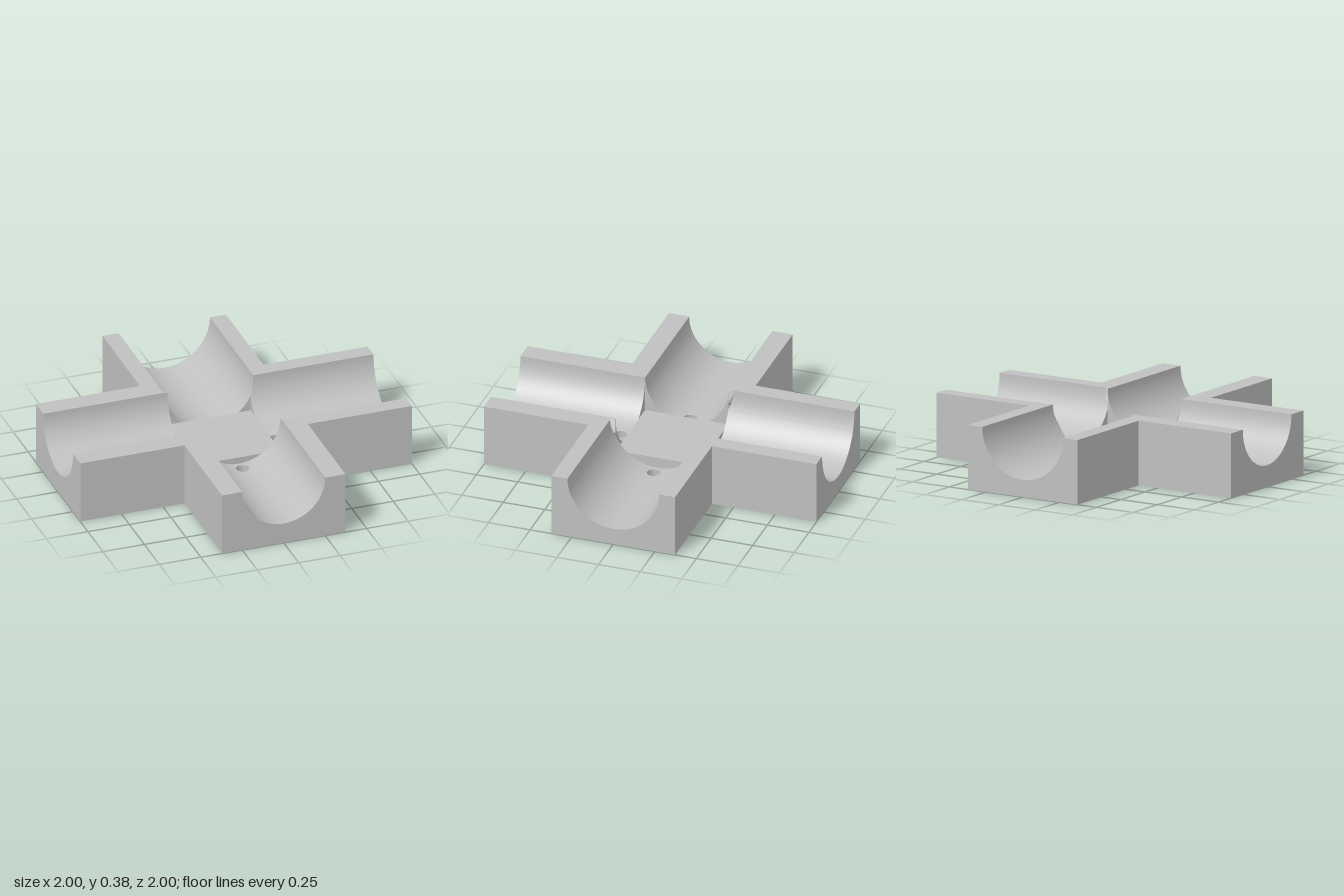
import * as THREE from 'three';
import { toCreasedNormals } from 'three/addons/utils/BufferGeometryUtils.js';

const HEIGHT = 0.375;      // block height, also the channel axis height
const HALF_WIDTH = 0.372;  // half the width of an arm
const HUB = 0.25;          // half the width of the central floor
const HOLE_Z = 0.312, HOLE_R = 0.038;

// One arm along +z: a block with a half-round channel, a screw hole and a mitred inner end
function armGeometry(radius) {
  const pos = [];
  const quad = (a, b, c, d) => {
    for (const p of [a, b, c, a, c, d]) pos.push(...p);
  };
  const top = x => Math.abs(x) < radius ? HEIGHT - Math.sqrt(radius * radius - x * x) : HEIGHT;

  // Section columns: channel steps, hole steps, hub corners and outer edges
  let xs = [-HALF_WIDTH, HALF_WIDTH, -HUB, HUB];
  for (let i = 0; i <= 40; i++) xs.push(-radius * Math.cos(i * Math.PI / 40));
  for (let i = 0; i <= 12; i++) xs.push(-HOLE_R * Math.cos(i * Math.PI / 12));
  xs = xs.sort((a, b) => a - b).filter((x, i) => i === 0 || x - xs[i - 1] > 1e-6);

  const columns = xs.map(x => {
    const inner = Math.max(HUB, Math.abs(x));
    const half = Math.sqrt(Math.max(0, HOLE_R * HOLE_R - x * x));
    const mid = Math.max(HOLE_Z, inner);
    return { x, y: top(x), inner, near: mid - half, far: mid + half };
  });

  for (let i = 0; i + 1 < columns.length; i++) {
    const a = columns[i], b = columns[i + 1];
    // Channel and rim above, flat underside below, both split around the hole
    for (const [from, to] of [[c => c.inner, c => c.near], [c => c.far, () => 1]]) {
      quad([a.x, a.y, from(a)], [a.x, a.y, to(a)], [b.x, b.y, to(b)], [b.x, b.y, from(b)]);
      quad([b.x, 0, from(b)], [b.x, 0, to(b)], [a.x, 0, to(a)], [a.x, 0, from(a)]);
    }
    // Upright faces looking along +z or -z
    const upright = (za, zb, forward) => {
      const p = [[a.x, 0, za], [b.x, 0, zb], [b.x, b.y, zb], [a.x, a.y, za]];
      quad(...(forward ? p : p.reverse()));
    };
    upright(1, 1, true);
    if (Math.max(Math.abs(a.x), Math.abs(b.x)) < 0.28) upright(a.inner, b.inner, false);
    if (Math.abs(a.x + b.x) / 2 < HOLE_R) {
      upright(a.near, b.near, true);
      upright(a.far, b.far, false);
    }
  }

  // Outer side walls
  for (const s of [1, -1]) {
    const x = s * HALF_WIDTH;
    const p = [[x, 0, 1], [x, 0, HALF_WIDTH], [x, HEIGHT, HALF_WIDTH], [x, HEIGHT, 1]];
    quad(...(s > 0 ? p : p.reverse()));
  }

  const geometry = new THREE.BufferGeometry();
  geometry.setAttribute('position', new THREE.Float32BufferAttribute(pos, 3));
  return toCreasedNormals(geometry, 0.5);
}

export function createModel() {
  const group = new THREE.Group();
  group.name = 'crossChannelBlock';
  const grey = new THREE.MeshStandardMaterial({ color: 0xc0c0c0 });
  grey.name = 'grey';

  // Two narrow and two wide channels
  const narrow = armGeometry(0.25), wide = armGeometry(0.275);
  const arms = [
    ['frontArm', narrow, 0],
    ['leftArm', wide, Math.PI / 2],
    ['backArm', wide, Math.PI],
    ['rightArm', narrow, -Math.PI / 2],
  ];
  for (const [name, geometry, angle] of arms) {
    const arm = new THREE.Mesh(geometry, grey);
    arm.name = name;
    arm.rotation.y = angle;
    group.add(arm);
  }

  // Raised flat floor where the channels meet
  const floor = new THREE.Mesh(new THREE.BoxGeometry(2 * HUB, 0.165, 2 * HUB), grey);
  floor.name = 'centreFloor';
  floor.position.y = 0.0825;
  group.add(floor);
  return group;
}
